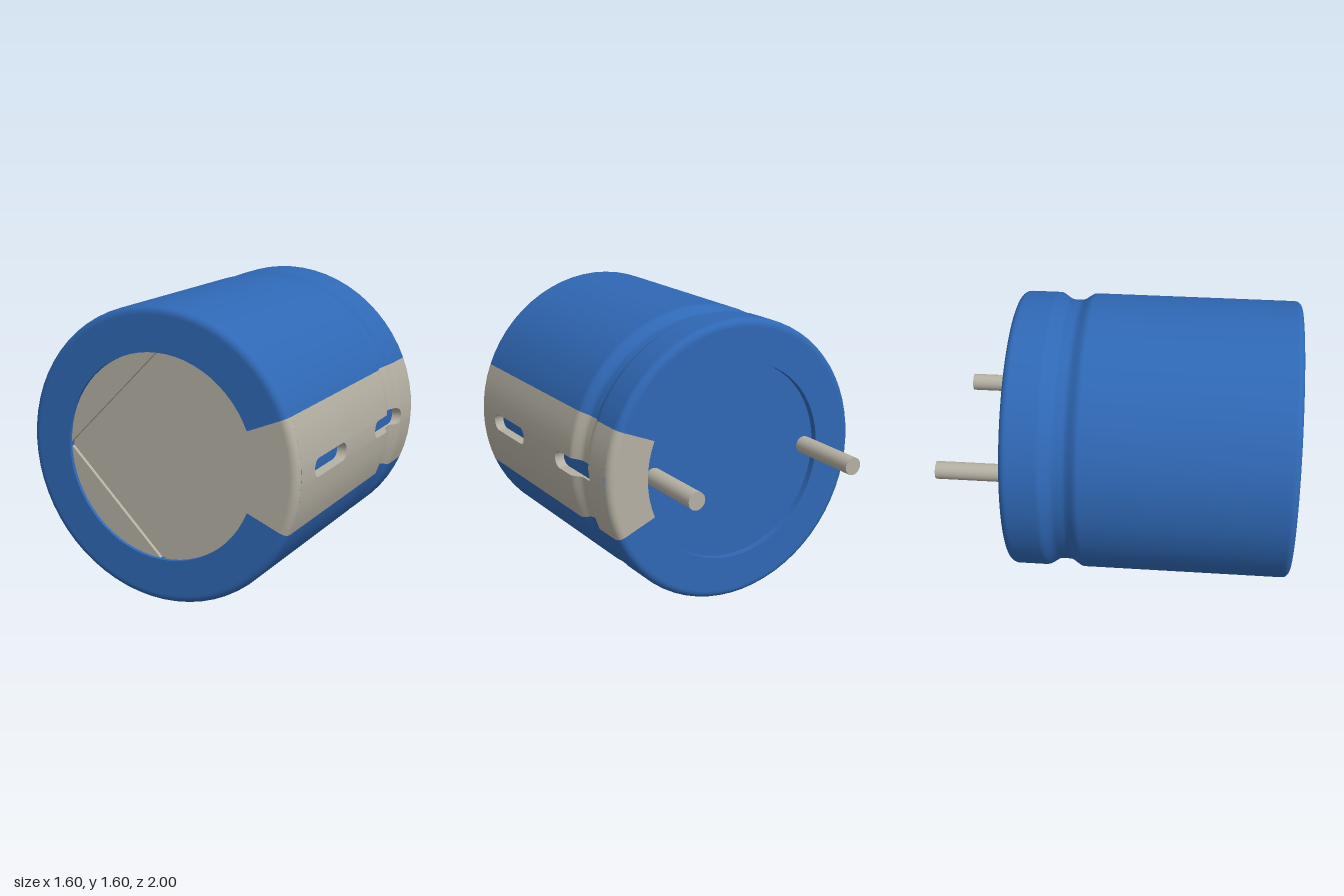
import * as THREE from 'three';

const R = 0.8, HOLE = 0.56, BACK = -0.6, FRONT = 1, FILLET = 0.04;
const BAND = Math.PI / 8;          // half angle of the side band
const SLOT = 0.05, FLOOR = 0.745;  // slot half width and floor radius
const SLOTS = [[-0.4, 0], [0.4, 0.8]];

// radius of the can along its axis, with the crimped groove
function radiusAt(z) {
  return R - 0.04 * THREE.MathUtils.smoothstep(0.11 - Math.abs(z + 0.285), 0, 0.085);
}

// grid surface from a rule of (u, v) in 0..1
function surface(rule, nu, nv) {
  const pos = [], index = [];
  for (let j = 0; j <= nv; j++)
    for (let i = 0; i <= nu; i++) pos.push(...rule(i / nu, j / nv));
  for (let j = 0; j < nv; j++)
    for (let i = 0; i < nu; i++) {
      const a = j * (nu + 1) + i, b = a + 1, c = a + nu + 1, d = c + 1;
      index.push(a, b, c, b, d, c);
    }
  const g = new THREE.BufferGeometry();
  g.setAttribute('position', new THREE.Float32BufferAttribute(pos, 3));
  g.setIndex(index);
  g.computeVertexNormals();
  return g;
}

const polar = (r, a, z) => [r * Math.cos(a), r * Math.sin(a), z];

// lathe about the z axis
function turned(points, segments, start, length) {
  const pts = points.map(([r, z]) => new THREE.Vector2(r, z));
  return new THREE.LatheGeometry(pts, segments, start, length).rotateX(Math.PI / 2);
}

// rounded rim from the face to the side
function rim(end, dir) {
  const pts = [[HOLE, end], [R - FILLET - 0.005, end]];
  for (let i = 0; i <= 6; i++) {
    const a = (i / 6) * Math.PI / 2;
    pts.push([R - FILLET + FILLET * Math.sin(a), end + dir * FILLET * (1 - Math.cos(a))]);
  }
  return pts;
}

export function createModel() {
  const blue = new THREE.MeshStandardMaterial({ color: 0x2f68b5, side: THREE.DoubleSide });
  blue.name = 'blue sleeve';
  const grey = new THREE.MeshStandardMaterial({ color: 0xb5b0a3, side: THREE.DoubleSide });
  grey.name = 'warm grey';

  const model = new THREE.Group();
  model.name = 'capacitor';
  const can = new THREE.Group();
  can.name = 'can';
  can.position.y = R;
  model.add(can);
  const add = (name, geometry, material, parent = can) => {
    const mesh = new THREE.Mesh(geometry, material);
    mesh.name = name;
    parent.add(mesh);
    return mesh;
  };

  // profiles, running from back to front
  const backRim = rim(BACK, 1), frontRim = rim(FRONT, -1).reverse();
  const z0 = BACK + FILLET, z1 = FRONT - FILLET;
  const side = [];
  for (let i = 1; i < 28; i++) {
    const z = -0.41 + i * 0.25 / 28;
    side.push([radiusAt(z), z]);
  }
  const backWall = [[HOLE, BACK + 0.04], [HOLE, BACK]];
  const frontWall = [[HOLE, FRONT], [HOLE, FRONT - 0.04]];

  // blue sleeve around all but the band
  const start = Math.PI / 2 + BAND, sweep = 2 * Math.PI - 2 * BAND;
  add('sleeve', turned([...backRim, ...side, ...frontRim], 56, start, sweep), blue);
  add('sleeveBackLip', turned(backWall, 56, start, sweep), blue);
  add('sleeveFrontLip', turned(frontWall, 56, start, sweep), blue);

  // grey band over both rims
  const band = new THREE.Group();
  band.name = 'band';
  can.add(band);
  for (const [name, pts] of [['bandBackRim', backRim], ['bandFrontRim', frontRim],
    ['bandBackLip', backWall], ['bandFrontLip', frontWall]])
    add(name, turned(pts, 8, Math.PI / 2 - BAND, 2 * BAND), grey, band);

  // band sides above and below the slots
  const inner = Math.asin(SLOT / R);
  for (const [name, from, to] of [['bandUpper', inner, BAND], ['bandLower', -BAND, -inner]])
    add(name, surface((u, v) => {
      const z = z0 + (z1 - z0) * v;
      return polar(radiusAt(z), from + (to - from) * u, z);
    }, 4, 120), grey, band);

  // middle of the band, ending in rounded slot ends
  const lowEnd = ([a]) => s => a + SLOT * (1 - Math.cos(s));
  const highEnd = ([, b]) => s => b - SLOT * (1 - Math.cos(s));
  const angle = s => Math.asin(SLOT * Math.sin(s) / R);
  const strip = (lo, hi, radius) => surface((u, v) => {
    const s = (u - 0.5) * Math.PI;
    const z = lo(s) + (hi(s) - lo(s)) * v;
    return polar(radius(z), angle(s), z);
  }, 12, 24);
  const [first, second] = SLOTS;
  add('bandMiddleBack', strip(() => z0, lowEnd(first), radiusAt), grey, band);
  add('bandMiddle', strip(highEnd(first), lowEnd(second), radiusAt), grey, band);
  add('bandMiddleFront', strip(highEnd(second), () => z1, radiusAt), grey, band);

  // slots: blue floor and grey walls
  for (const slot of SLOTS) {
    const lo = lowEnd(slot), hi = highEnd(slot);
    add('slotFloor', strip(lo, hi, () => FLOOR), blue, band);
    const outline = [];
    for (let i = 0; i <= 12; i++) {
      const s = (i / 12 - 0.5) * Math.PI;
      outline.push([angle(s), lo(s)]);
    }
    for (let i = 1; i < 24; i++)
      outline.push([inner, lo(Math.PI / 2) + (hi(Math.PI / 2) - lo(Math.PI / 2)) * i / 24]);
    const turn = outline.map(([a, z]) => [-a, slot[0] + slot[1] - z]);
    const loop = [...outline, ...turn, outline[0]];
    add('slotWall', surface((u, v) => {
      const [a, z] = loop[Math.round(u * (loop.length - 1))];
      const r = radiusAt(z);
      return polar(r + (FLOOR - r) * v, a, z);
    }, loop.length - 1, 1), grey, band);
  }

  // front end plate: a disc carrying four quadrants parted by a cross groove
  const plate = add('frontPlate', new THREE.CircleGeometry(HOLE, 64), grey);
  plate.position.z = FRONT - 0.04;
  const gap = 0.0125, edge = Math.asin(gap / HOLE);
  const quarter = new THREE.Shape();
  quarter.moveTo(gap, gap);
  quarter.absarc(0, 0, HOLE, edge, Math.PI / 2 - edge, false);
  quarter.closePath();
  const quarterGeometry = new THREE.ExtrudeGeometry(quarter,
    { depth: 0.02, bevelEnabled: false, curveSegments: 18 });
  for (let i = 0; i < 4; i++) {
    const q = add('frontQuadrant', quarterGeometry, grey);
    q.position.z = FRONT - 0.04;
    q.rotation.z = i * Math.PI / 2;
  }

  // recessed back plate
  const back = add('backPlate', new THREE.CircleGeometry(HOLE, 64), blue);
  back.rotation.y = Math.PI;
  back.position.z = BACK + 0.04;

  // lead pins, one slightly longer
  for (const [name, x, tip] of [['rightLead', -0.5, -1], ['leftLead', 0.5, -0.98]]) {
    const root = BACK + 0.05;
    const pin = add(name, new THREE.CylinderGeometry(0.05, 0.05, root - tip, 24).rotateX(Math.PI / 2), grey);
    pin.position.set(x, 0, (root + tip) / 2);
  }
  return model;
}
